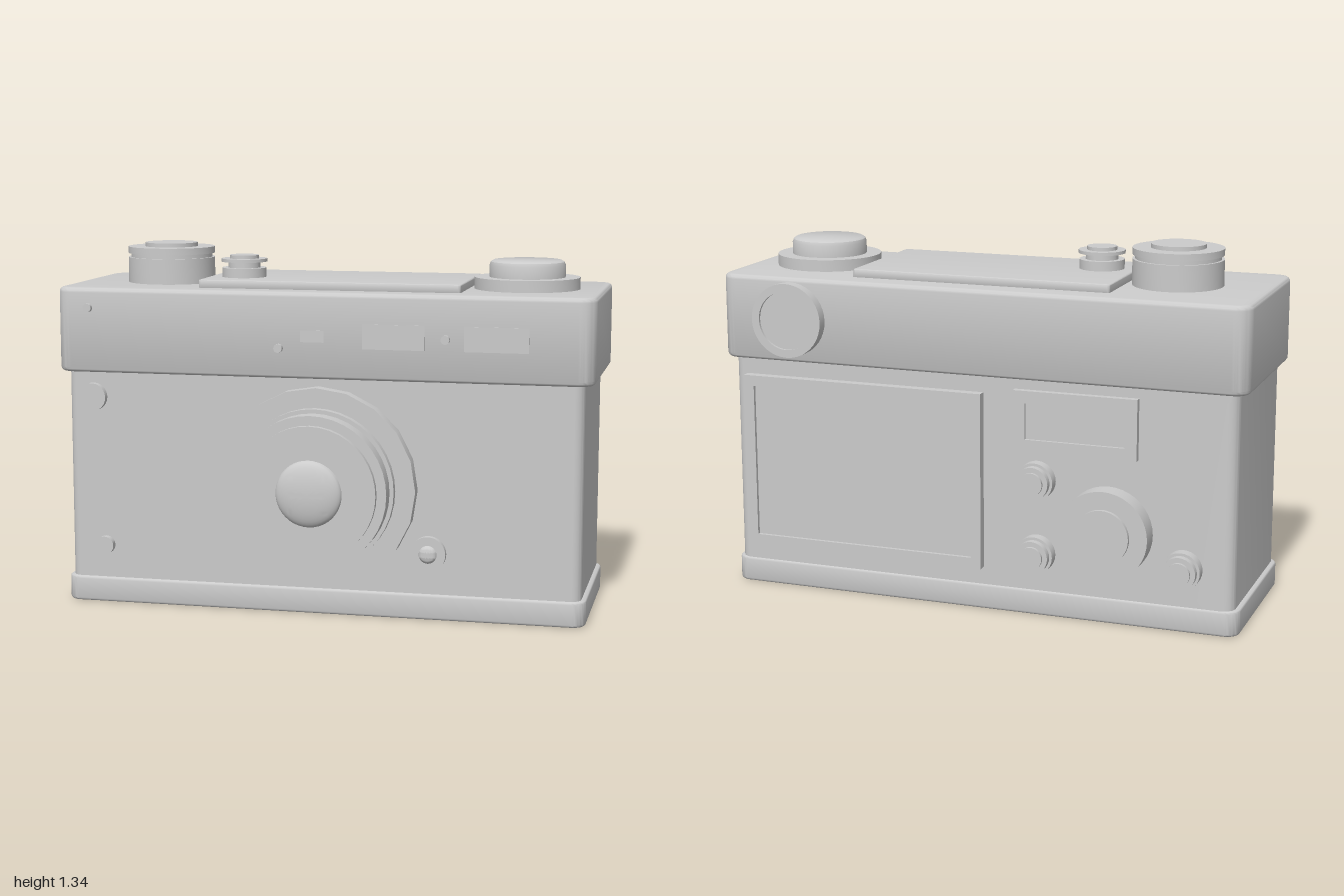
import * as THREE from 'three';
import { toCreasedNormals } from 'three/addons/utils/BufferGeometryUtils.js';

const material = new THREE.MeshStandardMaterial({ color: 0xcccccc });

function add(parent, name, geometry) {
  const mesh = new THREE.Mesh(toCreasedNormals(geometry, 0.6), material);
  mesh.name = name;
  parent.add(mesh);
  return mesh;
}

// Rounded rectangle outline centred on the origin
function roundedRect(Type, w, h, r) {
  const s = new Type();
  const x = w / 2, y = h / 2;
  if (r === 0) {
    s.moveTo(-x, -y).lineTo(x, -y).lineTo(x, y).lineTo(-x, y).closePath();
    return s;
  }
  s.absarc(x - r, y - r, r, 0, Math.PI / 2);
  s.absarc(-x + r, y - r, r, Math.PI / 2, Math.PI);
  s.absarc(-x + r, -y + r, r, Math.PI, Math.PI * 1.5);
  s.absarc(x - r, -y + r, r, Math.PI * 1.5, Math.PI * 2);
  s.closePath();
  return s;
}

// Horizontal slab with rounded upright corners and softened rims
function slab(parent, name, [x0, x1], [y0, y1], [z0, z1], r, bevel) {
  const geometry = new THREE.ExtrudeGeometry(roundedRect(THREE.Shape, x1 - x0, z1 - z0, r), {
    depth: y1 - y0 - 2 * bevel, curveSegments: 5,
    bevelEnabled: bevel > 0, bevelThickness: bevel, bevelSize: bevel, bevelOffset: -bevel, bevelSegments: 4,
  });
  geometry.translate(0, 0, bevel).rotateX(-Math.PI / 2);
  add(parent, name, geometry).position.set((x0 + x1) / 2, y0, (z0 + z1) / 2);
}

function box(parent, name, [x0, x1], [y0, y1], [z0, z1]) {
  const mesh = add(parent, name, new THREE.BoxGeometry(x1 - x0, y1 - y0, z1 - z0));
  mesh.position.set((x0 + x1) / 2, (y0 + y1) / 2, (z0 + z1) / 2);
}

// Upright rectangular frame with an open middle
function frame(parent, name, [x0, x1], [y0, y1], [z0, z1], border) {
  const w = x1 - x0, h = y1 - y0;
  const shape = roundedRect(THREE.Shape, w, h, 0);
  shape.holes.push(roundedRect(THREE.Path, w - 2 * border, h - 2 * border, 0));
  const geometry = new THREE.ExtrudeGeometry(shape, { depth: z1 - z0, bevelEnabled: false });
  add(parent, name, geometry).position.set((x0 + x1) / 2, (y0 + y1) / 2, z0);
}

// Stepped round part: steps are [radius, height reached], pointing up, front or back
const turns = { up: 0, front: Math.PI / 2, back: -Math.PI / 2 };
function turned(parent, name, steps, position, facing = 'up', sides = 40) {
  const points = [new THREE.Vector2(0, 0)];
  let base = 0;
  for (const [r, top] of steps) {
    points.push(new THREE.Vector2(r, base), new THREE.Vector2(r, top));
    base = top;
  }
  points.push(new THREE.Vector2(0, base));
  const mesh = add(parent, name, new THREE.LatheGeometry(points, sides));
  mesh.rotation.x = turns[facing];
  mesh.position.set(...position);
}

// Shallow dome facing the front
function dome(parent, name, r, height, position) {
  const points = [];
  for (let i = 0; i <= 10; i++) {
    const a = (i / 10) * Math.PI / 2;
    points.push(new THREE.Vector2(r * Math.cos(a), height * Math.sin(a)));
  }
  const mesh = add(parent, name, new THREE.LatheGeometry(points, 40));
  mesh.rotation.x = turns.front;
  mesh.position.set(...position);
}

export function createModel() {
  const camera = new THREE.Group();
  camera.name = 'camera';

  // Case: base, body, overhanging top cover and raised top plate
  slab(camera, 'base', [-0.98, 0.98], [0, 0.095], [-0.385, 0.28], 0.05, 0.01);
  slab(camera, 'body', [-0.963, 0.963], [0.08, 0.89], [-0.38, 0.27], 0.04, 0);
  slab(camera, 'topCover', [-1, 1], [0.875, 1.19], [-0.405, 0.29], 0.06, 0.018);
  slab(camera, 'topPlate', [-0.475, 0.505], [1.18, 1.22], [-0.31, 0.195], 0.01, 0.006);

  // Top controls
  turned(camera, 'rewindDial', [[0.165, 0.105], [0.155, 0.12], [0.165, 0.145], [0.1, 0.16]], [-0.655, 1.18, -0.058]);
  turned(camera, 'shutterButton', [[0.083, 0.04], [0.06, 0.062], [0.086, 0.074], [0.055, 0.087]], [-0.345, 1.215, 0.022]);
  turned(camera, 'speedDialBase', [[0.195, 0.05]], [0.713, 1.183, -0.058]);
  const knob = new THREE.LatheGeometry(
    [[0.14, 0], [0.14, 0.045], [0.135, 0.057], [0.125, 0.063], [0, 0.063]].map(p => new THREE.Vector2(...p)), 40);
  add(camera, 'speedDialKnob', knob).position.set(0.713, 1.232, -0.058);

  // Lens barrel, widest ring faceted
  const lens = new THREE.Group();
  lens.name = 'lens';
  camera.add(lens);
  turned(lens, 'lensMount', [[0.368, 0.06]], [0, 0.48, 0.26], 'front', 20);
  turned(lens, 'lensBarrel', [[0.295, 0.09], [0.28, 0.15], [0.245, 0.172]], [0, 0.48, 0.26], 'front');
  dome(lens, 'lensGlass', 0.122, 0.038, [0, 0.48, 0.432]);

  // Front windows
  const windows = [[-0.063, 0.023, 1.01, 1.053], [0.165, 0.392, 0.99, 1.08], [0.535, 0.767, 0.99, 1.08]];
  for (const [x0, x1, y0, y1] of windows) box(camera, 'frontWindow', [x0, x1], [y0, y1], [0.27, 0.293]);

  // Small pins on the cover and studs on the body
  for (const [x, y] of [[-0.87, 1.117], [-0.143, 0.987], [0.47, 1.033]]) {
    turned(camera, 'frontPin', [[0.011, 0.016], [0.016, 0.033]], [x, y, 0.28], 'front', 16);
  }
  turned(camera, 'upperStud', [[0.052, 0.035]], [-0.862, 0.783, 0.26], 'front', 24);
  turned(camera, 'lowerStud', [[0.034, 0.035]], [-0.823, 0.22, 0.26], 'front', 24);
  turned(camera, 'frontButton', [[0.065, 0.033]], [0.41, 0.247, 0.26], 'front', 32);
  dome(camera, 'frontButtonCap', 0.033, 0.016, [0.41, 0.247, 0.293]);

  // Eyepiece: ring with a recessed glass disc
  const ring = new THREE.LatheGeometry(
    [[0.137, 0], [0.137, 0.052], [0.108, 0.052], [0.108, 0.042], [0, 0.042]].map(p => new THREE.Vector2(...p)), 40);
  const eyepiece = add(camera, 'eyepiece', ring);
  eyepiece.rotation.x = turns.back;
  eyepiece.position.set(0.715, 1.037, -0.395);

  // Back screen and small back panel, each inset in a frame
  frame(camera, 'screenFrame', [-0.03, 0.91], [0.16, 0.815], [-0.415, -0.375], 0.04);
  box(camera, 'screen', [0, 0.88], [0.19, 0.785], [-0.402, -0.375]);
  frame(camera, 'panelFrame', [-0.61, -0.15], [0.615, 0.838], [-0.405, -0.375], 0.045);
  box(camera, 'panel', [-0.58, -0.18], [0.645, 0.81], [-0.393, -0.375]);

  // Back dial and buttons
  turned(camera, 'backDial', [[0.165, 0.085], [0.1, 0.1]], [-0.502, 0.345, -0.37], 'back');
  for (const [x, y] of [[-0.235, 0.51], [-0.235, 0.235], [-0.78, 0.235]]) {
    turned(camera, 'backButton', [[0.07, 0.05], [0.06, 0.075], [0.042, 0.086]], [x, y, -0.37], 'back', 28);
  }

  return camera;
}
